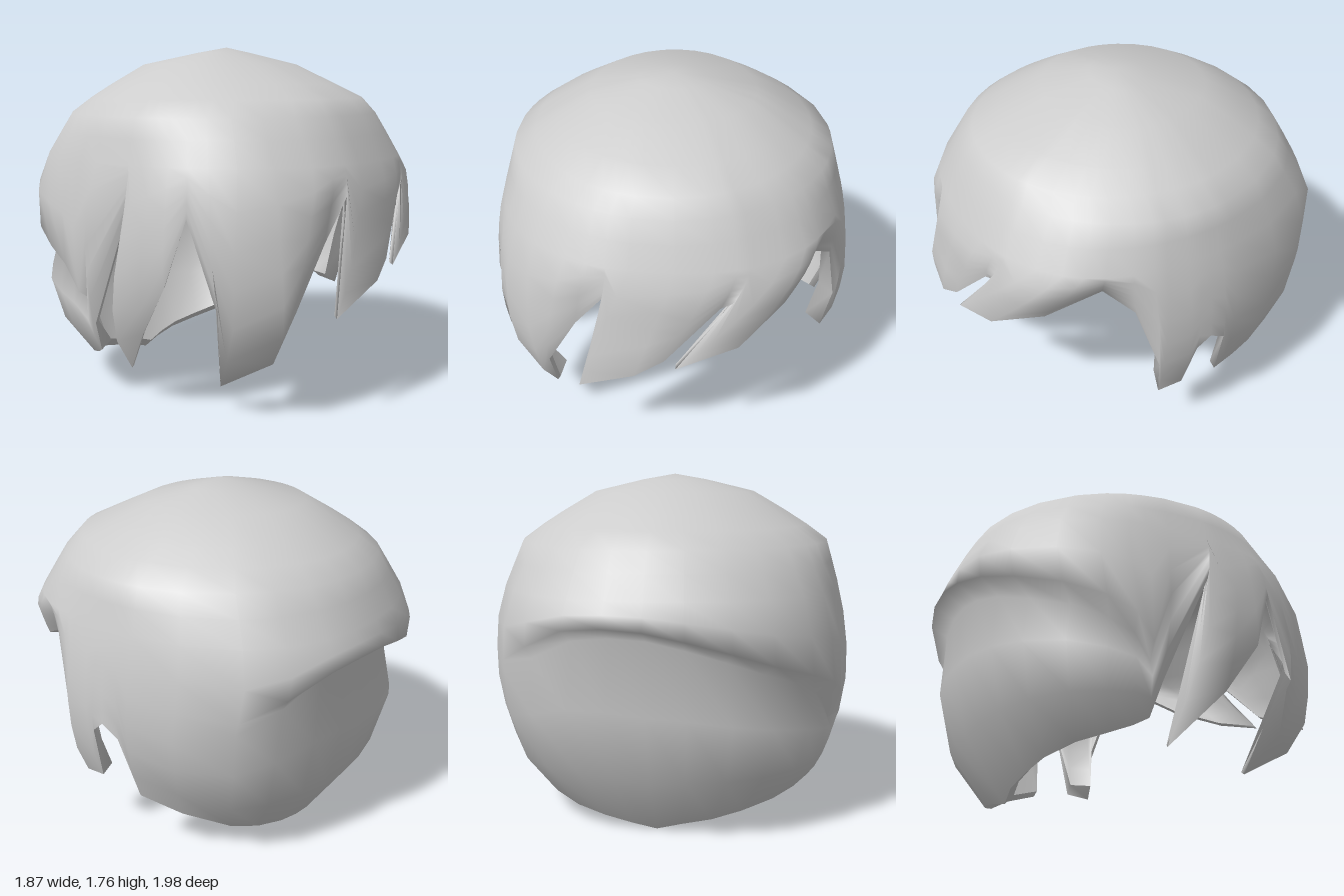
import * as THREE from 'three';

const { lerp, clamp, degToRad } = THREE.MathUtils;

// Half-sizes by height: [y, side, front, back]
const PROFILE = [
  [1.76, 0, 0, 0], [1.73, 0.17, 0.12, 0.16], [1.67, 0.42, 0.36, 0.46], [1.57, 0.59, 0.58, 0.63],
  [1.5, 0.7, 0.73, 0.74], [1.42, 0.81, 0.79, 0.84], [1.28, 0.85, 0.86, 0.91], [1.08, 0.905, 0.945, 0.995],
  [0.9, 0.93, 0.97, 0.97], [0.73, 0.94, 1.0, 0.92], [0.6, 0.92, 1.0, 0.91], [0.45, 0.89, 0.99, 0.88],
  [0.25, 0.8, 0.85, 0.79], [0.12, 0.67, 0.68, 0.68], [0, 0.58, 0.6, 0.6],
];
const DOME_ROWS = [1.76, 1.73, 1.67, 1.57, 1.5, 1.42, 1.32, 1.2];

function sizeAt(y) {
  const i = Math.max(1, PROFILE.findIndex((row) => y >= row[0]));
  const a = PROFILE[i - 1], b = PROFILE[i];
  return a.map((v, k) => lerp(v, b[k], (a[0] - y) / (a[0] - b[0])));
}

// Point on the head surface; angle runs from the front (+z) towards +x
function surfacePoint(deg, y, scale) {
  const [, side, front, back] = sizeAt(y);
  const t = degToRad(deg), c = Math.cos(t), s = Math.sin(t);
  const fullness = 0.07 * clamp((1.43 - y) / 0.28, 0, 1);
  const r = scale * (1 + fullness * Math.sin(2 * t) ** 2);
  return [side * s * r, y, c * (c > 0 ? front : back) * r];
}

// Strands: [angle at the root, angle at the hem, hem height, scale at the hem, thickness]
const FRONT = [
  [-17, -17, 1.05, 0.95], [-10, -26, 0.5, 0.99], [4, -8, 0.64, 0.99], [16, 1, 0.72, 0.96], // fringe
  [23, 18, 1.0, 0.95], [27, 22, 1.02, 0.95], [38, 4.5, 0.68, 0.97], [46, 23, 0.79, 0.97],
  [52, 40, 0.91, 0.91], [58, 57, 1.04, 0.85], // temple
  [66, 67, 0.96, 0.93, 0.05], [72, 75, 0.6, 0.97, 0.09], [76, 76, 0.35, 1, 0.1], [83, 84, 0.37, 1, 0.07], // left side lock
  [87, 86, 0.67], [90, 90, 0.73], [94, 95.5, 0.67], [99, 99, 0.32, 1, 0.04], [114, 114, 0.24, 0.98, 0.05],
];

// Back columns: [angle, hem height, overhang height, tuck under the overhang]
const BACK = [
  [131, 0.13, 0.86, 0], [143, 0.09, 0.96, 0.04], [156, 0.06, 1.06, 0.08], [168, 0.03, 1.08, 0.1],
  [180, 0, 1.07, 0.11], [192, 0.04, 1.03, 0.11], [205, 0.07, 0.97, 0.11], [217, 0.11, 0.9, 0.11],
  [230, 0.15, 0.83, 0.11], [241, 0.18, 0.76, 0.11], [249, 0.21, 0.69, 0.1], [254, 0.24, 0.56, 0.08],
];

const RIGHT = [
  [261, 257.5, 0.4, 0.99], [274, 276, 1.07, 0.98], // end of the overhang
  [279, 263, 0.15, 1], [283, 278, 0.4], [288, 287, 0.65], // right side lock
  [294, 294, 0.98], [300, 301, 0.55], [308, 303, 0.12], [318, 318, 0.28, 0.98], // right front lock
  [330, 322, 0.55, 0.96], [337, 333, 0.85, 0.94],
];

// Each strand's lower rows as [angle, y, scale]
function lockRows([root, tip, hemY, hemScale = 1, thickness = 0.02]) {
  const rows = [];
  for (let k = 1; k <= 6; k++) {
    const f = k / 6;
    rows.push([lerp(root, tip, f), lerp(1.2, hemY, f), lerp(1, hemScale, f)]);
  }
  return { root, thickness, rows };
}

// Back rows run down to the overhang, step inwards, then curve down to the nape
function napeRows([angle, hemY, ledgeY, tuck]) {
  const under = ledgeY - 0.06;
  const rows = [
    [angle, lerp(1.2, ledgeY, 0.5), 1], [angle, ledgeY, 1], [angle, under, 1 - tuck],
    [angle, lerp(under, hemY, 0.35), 1 - tuck * 0.1], [angle, lerp(under, hemY, 0.7), 1],
    [angle, hemY, 1],
  ];
  return { root: angle, thickness: 0.07, rows };
}

// The first strand is repeated at the end to close the loop
const COLUMNS = [...FRONT.map(lockRows), ...BACK.map(napeRows), ...RIGHT.map(lockRows), lockRows(FRONT[0])];

// Outer wall when inner is false, otherwise the lining
function wall(inner) {
  return COLUMNS.map(({ root, thickness, rows }) => {
    const dome = DOME_ROWS.map((y) => {
      const p = surfacePoint(root, y, inner ? 0.955 : 1);
      if (inner) p[1] -= 0.045;
      return p;
    });
    const lower = rows.map(([angle, y, scale], k) => {
      const f = (k + 1) / rows.length;
      const p = surfacePoint(angle, y, inner ? scale * lerp(0.955, 1 - thickness, f) : scale);
      if (inner) p[1] += lerp(-0.045, thickness * 0.6, f);
      return p;
    });
    return [...dome, ...lower];
  });
}

// Joins a grid of points, columns by rows, into a smooth surface
function gridGeometry(columns, flip) {
  const rows = columns[0].length, index = [];
  for (let i = 0; i < columns.length - 1; i++) {
    for (let j = 0; j < rows - 1; j++) {
      const a = i * rows + j, b = a + rows, c = a + 1, d = b + 1;
      if (flip) index.push(a, d, c, a, b, d);
      else index.push(a, c, d, a, d, b);
    }
  }
  const geometry = new THREE.BufferGeometry();
  geometry.setAttribute('position', new THREE.Float32BufferAttribute(columns.flat(2), 3));
  geometry.setIndex(index);
  geometry.computeVertexNormals();
  // Share normals across the closing seam and at the crown
  const n = geometry.attributes.normal, last = (columns.length - 1) * rows;
  const u = new THREE.Vector3(), v = new THREE.Vector3();
  for (let j = 0; j < rows; j++) {
    u.fromBufferAttribute(n, j).add(v.fromBufferAttribute(n, last + j)).normalize();
    n.setXYZ(j, u.x, u.y, u.z);
    n.setXYZ(last + j, u.x, u.y, u.z);
  }
  if (Math.hypot(columns[0][0][0], columns[0][0][2]) < 1e-4) {
    for (let i = 0; i < columns.length; i++) n.setXYZ(i * rows, 0, flip ? -1 : 1, 0);
  }
  return geometry;
}

export function createModel() {
  const model = new THREE.Group();
  model.name = 'hair';
  const hair = new THREE.MeshStandardMaterial({ color: 0xcccccc, side: THREE.DoubleSide });
  hair.name = 'light grey hair';

  const outer = wall(false), inner = wall(true);
  const hem = outer.map((column, i) => [column.at(-1), inner[i].at(-1)]);
  const parts = {
    hairOutside: gridGeometry(outer, false),
    hairLining: gridGeometry(inner, true),
    hairHem: gridGeometry(hem, false),
  };
  for (const [name, geometry] of Object.entries(parts)) {
    const mesh = new THREE.Mesh(geometry, hair);
    mesh.name = name;
    model.add(mesh);
  }
  return model;
}
